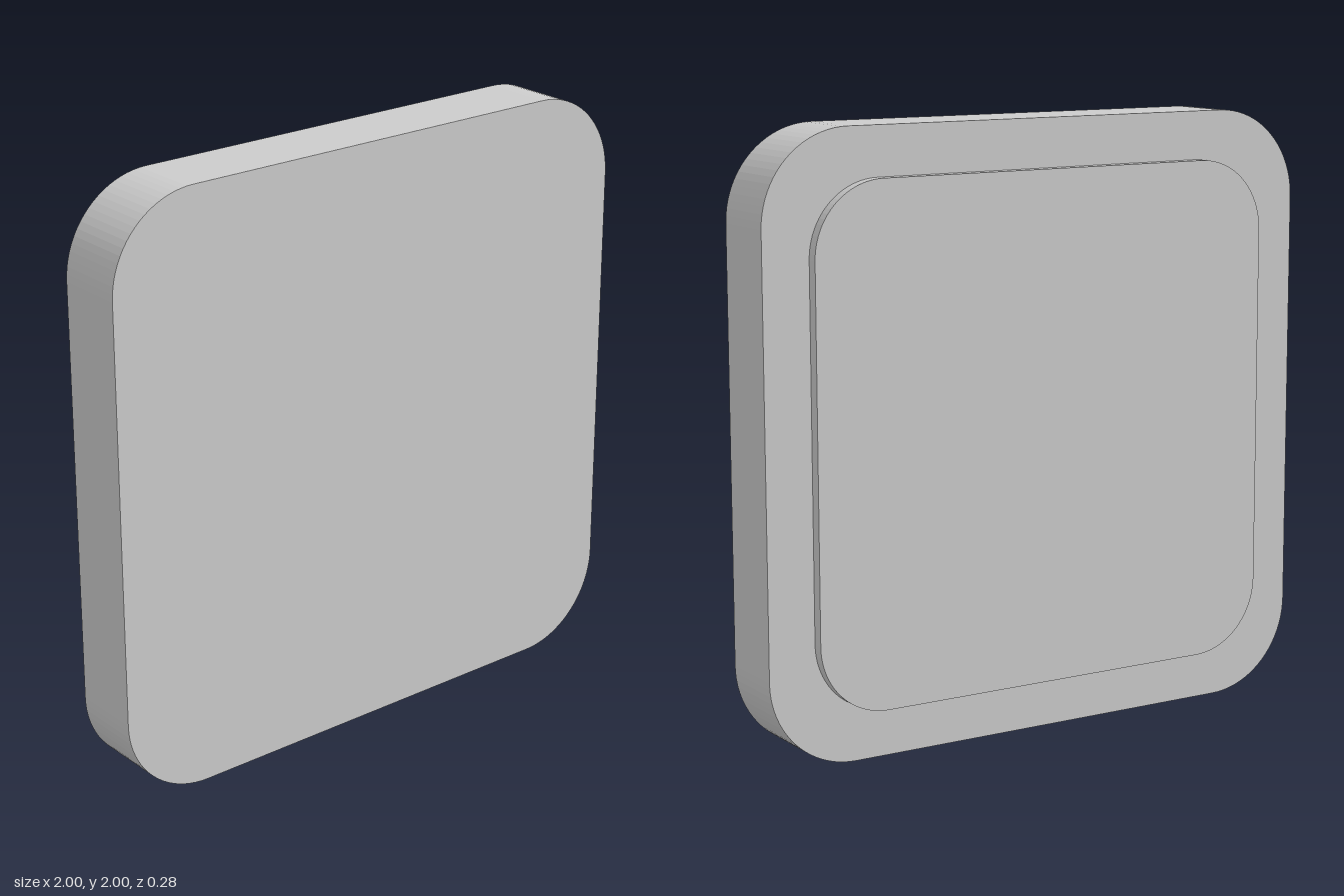
import * as THREE from 'three';

// Rounded square centred on the origin
function roundedSquare(half, r) {
  const s = new THREE.Shape();
  const c = half - r;
  s.moveTo(c, -half);
  s.absarc(c, -c, r, -Math.PI / 2, 0);
  s.absarc(c, c, r, 0, Math.PI / 2);
  s.absarc(-c, c, r, Math.PI / 2, Math.PI);
  s.absarc(-c, -c, r, Math.PI, Math.PI * 1.5);
  s.closePath();
  return s;
}

// Slab with rounded corners between two depths
function slab(name, half, r, zBack, zFront, material) {
  const geometry = new THREE.ExtrudeGeometry(roundedSquare(half, r), {
    depth: zFront - zBack, bevelEnabled: false, curveSegments: 10,
  });
  const mesh = new THREE.Mesh(geometry, material);
  mesh.name = name;
  mesh.position.set(0, 1, zBack);
  return mesh;
}

export function createModel() {
  const group = new THREE.Group();
  group.name = 'roundedPanel';
  const material = new THREE.MeshStandardMaterial({ color: 0xcccccc, flatShading: true });

  // Thick main body, then the thin raised plate on its back
  group.add(slab('body', 1, 0.3, -0.1, 0.138, material));
  group.add(slab('backPlate', 0.84, 0.24, -0.138, -0.1, material));
  return group;
}
